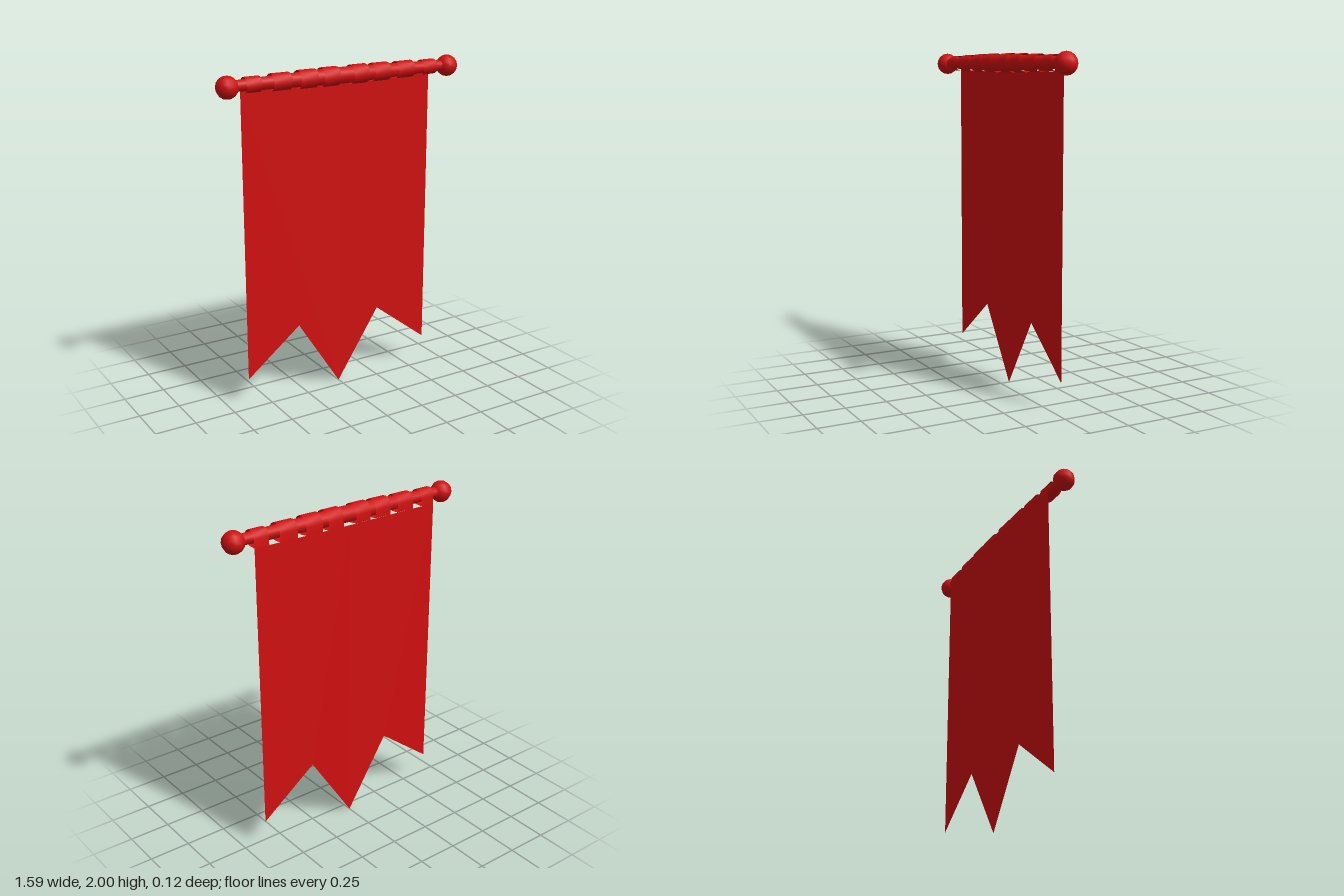
import * as THREE from 'three';

const POLE_Y = 1.94, CLOTH_TOP = 1.893, HALF_W = 0.63;

// The cloth is folded very slightly down its middle.
const clothZ = (x) => -0.057 + 0.01 * Math.abs(x) / HALF_W;

// A strip of cloth that rises from the banner, wraps the pole and returns.
function loopGeometry(x0, x1, r) {
  const path = [[clothZ(x0), CLOTH_TOP]];
  for (let i = 0; i <= 10; i++) {
    const a = Math.PI * (1 - i * 0.15);
    path.push([r * Math.cos(a), POLE_Y + r * Math.sin(a)]);
  }
  path.push([clothZ(x0), CLOTH_TOP]);
  const g = new THREE.PlaneGeometry(x1 - x0, 1, 1, path.length - 1);
  const p = g.attributes.position;
  for (let i = 0; i < p.count; i++) {
    const [z, y] = path[Math.floor(i / 2)];
    p.setXYZ(i, p.getX(i) + (x0 + x1) / 2, y, z);
  }
  g.computeVertexNormals();
  return g;
}

export function createModel() {
  const model = new THREE.Group();
  const wood = new THREE.MeshStandardMaterial({ color: 0xd01010 });
  const cloth = new THREE.MeshStandardMaterial({ color: 0xd01010, side: THREE.DoubleSide });

  const add = (name, geometry, material) => {
    const mesh = new THREE.Mesh(geometry, material);
    mesh.name = name;
    model.add(mesh);
    return mesh;
  };

  // Pole, thickest in the middle
  const profile = [[0.031, -0.72], [0.048, -0.08], [0.048, 0.08], [0.031, 0.72]];
  const pole = add('pole', new THREE.LatheGeometry(
    profile.map(([r, y]) => new THREE.Vector2(r, y)), 12), wood);
  pole.rotation.z = Math.PI / 2;
  pole.position.y = POLE_Y;

  for (const side of [1, -1]) {
    const prefix = side > 0 ? 'left' : 'right';

    // Ball at the end of the pole
    const ball = add(prefix + 'Finial', new THREE.SphereGeometry(0.065, 10, 8), wood);
    ball.position.set(side * 0.73, 1.936, 0);

    // Half of the banner, with its pointed tails
    const shape = new THREE.Shape([
      [0, CLOTH_TOP], [0, 0], [0.28, 0.435], [HALF_W, 0.165], [HALF_W, CLOTH_TOP],
    ].map(([x, y]) => new THREE.Vector2(side * x, y)));
    const half = new THREE.ShapeGeometry(shape);
    const p = half.attributes.position;
    for (let i = 0; i < p.count; i++) p.setZ(i, clothZ(p.getX(i)));
    half.computeVertexNormals();
    add(prefix + 'Banner', half, cloth);

    // Hanging loops: inner edge, outer edge, radius
    for (const [a, b, r] of [
      [0.045, 0.148, 0.056], [0.188, 0.297, 0.054],
      [0.353, 0.468, 0.05], [0.537, HALF_W, 0.045],
    ]) {
      add(prefix + 'Loop', loopGeometry(Math.min(side * a, side * b), Math.max(side * a, side * b), r), cloth);
    }
  }
  return model;
}
